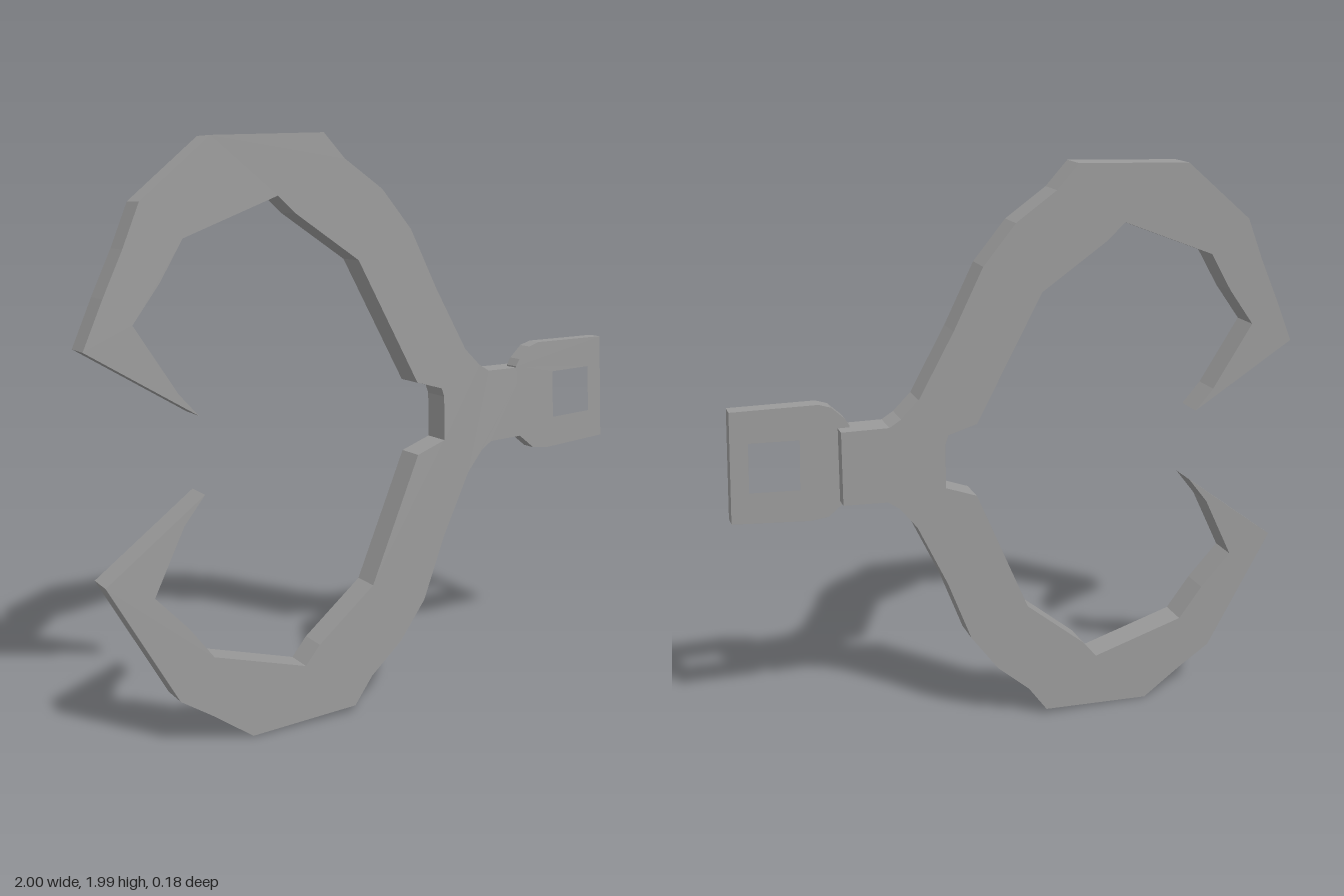
import * as THREE from 'three';

const toPath = (pts, path) => path.setFromPoints(pts.map(([x, y]) => new THREE.Vector2(x, y - 1)));

// Extrudes an outline backwards from the shared front plane
function plate(name, outline, thickness, material, hole) {
  const shape = toPath(outline, new THREE.Shape());
  if (hole) shape.holes.push(toPath(hole, new THREE.Path()));
  const geometry = new THREE.ExtrudeGeometry(shape, { depth: thickness, bevelEnabled: false });
  geometry.translate(0, 0, -thickness);
  const mesh = new THREE.Mesh(geometry, material);
  mesh.name = name;
  return mesh;
}

export function createModel() {
  const grey = new THREE.MeshStandardMaterial({ color: 0x999999 });
  grey.name = 'grey metal';

  // Two hooked jaws joined by a short neck, outer edge first
  const claw = plate('claw', [
    [0.64, 1.165], [0.48, 1.165], [0.44, 1.19], [0.38, 1.25], [0.26, 1.47], [0.16, 1.675],
    [0.05, 1.81], [-0.09, 1.91], [-0.165, 1.993], [-0.56, 1.985], [-0.8, 1.79], [-0.86, 1.65],
    [-0.93, 1.505], [-1, 1.35], [-0.635, 1.12], [-0.7, 1.195], [-0.84, 1.42], [-0.745, 1.545],
    [-0.665, 1.675], [-0.335, 1.797], [-0.275, 1.74], [-0.045, 1.58], [0.18, 1.15], [0.28, 1.12],
    [0.29, 1.09], [0.29, 0.935], [0.18, 0.895], [-0.01, 0.455], [-0.225, 0.28], [-0.28, 0.215],
    [-0.615, 0.315], [-0.7, 0.43], [-0.81, 0.55], [-0.7, 0.77], [-0.625, 0.863], [-0.97, 0.61],
    [-0.74, 0.188], [-0.63, 0.115], [-0.485, 0.01], [-0.09, 0.03], [-0.02, 0.125], [0.1, 0.23],
    [0.2, 0.365], [0.285, 0.585], [0.39, 0.805], [0.45, 0.88], [0.49, 0.908], [0.64, 0.914],
  ], 0.103, grey);

  // Thin square loop fixed to the neck
  const buckle = plate('buckle', [
    [0.6, 1.17], [0.615, 1.195], [0.66, 1.237], [0.7, 1.25], [0.985, 1.25], [0.997, 0.875],
    [0.74, 0.856], [0.68, 0.863], [0.62, 0.912],
  ], 0.055, grey, [[0.765, 1.137], [0.93, 1.142], [0.935, 0.975], [0.77, 0.967]]);

  const tilted = new THREE.Group();
  tilted.name = 'tiltedHook';
  tilted.add(claw, buckle);
  tilted.position.set(0, 1, 0.053);
  tilted.rotation.set(-0.033, -0.02, 0);

  const model = new THREE.Group();
  model.name = 'doubleHook';
  model.add(tilted);
  return model;
}
